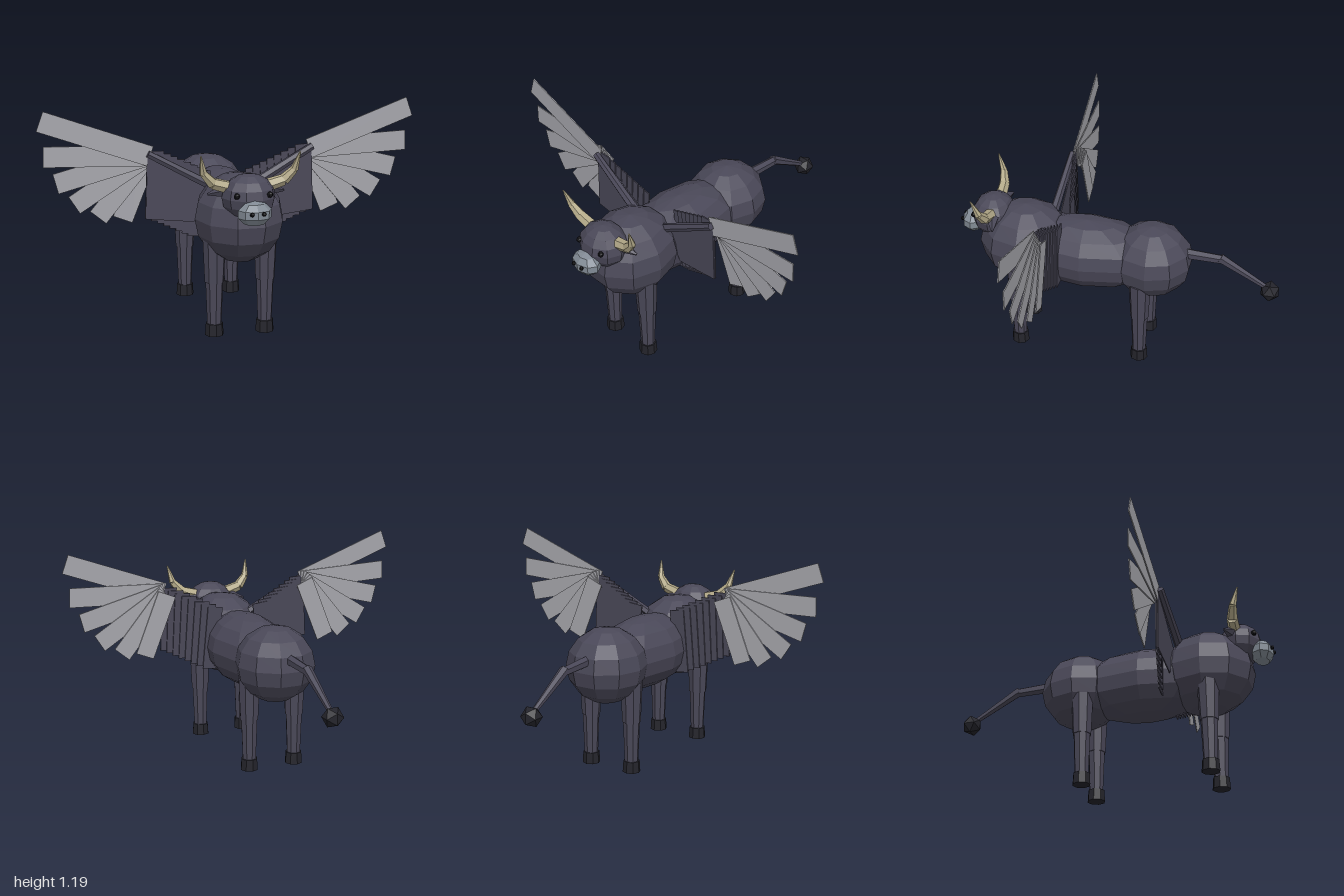
import * as THREE from 'three';

const mat = (name, color) => {
  const m = new THREE.MeshStandardMaterial({ color, flatShading: true });
  m.name = name;
  return m;
};

export function createModel() {
  const hide = mat('slate hide', 0x4a4858);
  const hoofDark = mat('dark hoof', 0x24242b);
  const muzzleGrey = mat('muzzle grey', 0x828b95);
  const hornTan = mat('horn tan', 0xb5ab8a);
  const featherGrey = mat('feather grey', 0xa6a6ac);
  const black = mat('black', 0x101014);
  const root = new THREE.Group();
  root.name = 'wingedBull';

  const add = (name, geo, material, x = 0, y = 0, z = 0, parent = root) => {
    const m = new THREE.Mesh(geo, material);
    m.name = name;
    m.position.set(x, y, z);
    parent.add(m);
    return m;
  };
  // Faceted ellipsoid with its corners on the x axis
  const ball = (name, material, c, r, ws = 10, hs = 8) =>
    add(name, new THREE.SphereGeometry(1, ws, hs).scale(...r), material, ...c);
  // Tapered cylinder between two points
  const limb = (name, material, a, b, ra, rb, sides = 6) => {
    const A = new THREE.Vector3(...a), B = new THREE.Vector3(...b);
    const d = B.clone().sub(A), mid = A.clone().add(B).multiplyScalar(0.5);
    const m = add(name, new THREE.CylinderGeometry(rb, ra, d.length(), sides), material, mid.x, mid.y, mid.z);
    m.quaternion.setFromUnitVectors(new THREE.Vector3(0, 1, 0), d.normalize());
    return m;
  };

  // Body
  ball('chest', hide, [0, 0.625, 0.53], [0.235, 0.235, 0.265]);
  ball('barrel', hide, [0, 0.6, 0.18], [0.212, 0.203, 0.43]);
  ball('rump', hide, [0, 0.603, -0.19], [0.22, 0.212, 0.23]);

  // Head
  ball('head', hide, [0, 0.775, 0.715], [0.14, 0.118, 0.122]);
  ball('muzzle', muzzleGrey, [0, 0.715, 0.835], [0.09, 0.064, 0.066], 8, 5);

  for (const s of [1, -1]) {
    const side = s > 0 ? 'left' : 'right';
    ball(side + 'Eye', black, [s * 0.085, 0.8, 0.807], [0.016, 0.016, 0.016], 6, 5);
    ball(side + 'Nostril', black, [s * 0.03, 0.725, 0.895], [0.012, 0.012, 0.012], 6, 4);
    limb(side + 'Ear', hide, [s * 0.11, 0.805, 0.69], [s * 0.2, 0.785, 0.665], 0.036, 0.006, 5);

    // Curved horn in tapering segments
    const horn = [[0.1, 0.825, 0.705, 0.034], [0.185, 0.85, 0.71, 0.03], [0.235, 0.905, 0.725, 0.021], [0.255, 1.0, 0.757, 0.004]];
    for (let i = 0; i < 3; i++) {
      const [a, b] = [horn[i], horn[i + 1]];
      limb(side + 'Horn' + i, hornTan, [s * a[0], a[1], a[2]], [s * b[0], b[1], b[2]], a[3], b[3]);
    }

    // Legs and hooves
    for (const [end, z] of [['Front', 0.555], ['Hind', -0.15]]) {
      const x = s * 0.137;
      limb(side + end + 'UpperLeg', hide, [x, 0.29, z], [x, 0.52, z], 0.052, 0.062, 8);
      limb(side + end + 'LowerLeg', hide, [x, 0.05, z], [x, 0.31, z], 0.038, 0.048, 8);
      limb(side + end + 'Hoof', hoofDark, [x, 0, z], [x, 0.064, z], 0.05, 0.046, 8);
    }

    // Wing arm
    const wing = new THREE.Group();
    wing.name = side + 'Wing';
    root.add(wing);
    wing.add(limb(side + 'WingArm', hide, [s * 0.08, 0.745, 0.4], [s * 0.445, 0.945, 0.375], 0.026, 0.02));

    // Front covert panel, its top edge following the arm
    const panel = new THREE.Shape([[0.1, 0.755], [0.445, 0.945], [0.458, 0.595], [0.2, 0.565]]
      .map(([x, y]) => new THREE.Vector2(s * x, y)));
    add('covertPanel', new THREE.ExtrudeGeometry(panel, { depth: 0.006, bevelEnabled: false }), hide, 0, 0, 0.357, wing);

    // Secondary feathers, stepping down and back towards the body
    for (let i = 0; i < 8; i++) {
      const t = i / 7;
      const f = add('secondaryFeather', new THREE.BoxGeometry(0.09, 0.36, 0.007), hide,
        s * (0.408 - 0.25 * t), 0.775 - 0.125 * t, 0.352 - 0.048 * t, wing);
      f.rotation.z = s * (0.04 + 0.06 * t);
    }

    // Primary feathers, fanned from the wrist
    const fan = [[20, 0.6], [2, 0.55], [-14.5, 0.505], [-32, 0.465], [-50, 0.42], [-68, 0.37]];
    fan.forEach(([deg, len], i) => {
      const f = add('primaryFeather', new THREE.BoxGeometry(len, 0.108, 0.006).translate(s * len / 2, 0, 0),
        featherGrey, s * 0.432, 0.93, 0.36 - 0.011 * i, wing);
      f.rotation.z = s * THREE.MathUtils.degToRad(deg);
    });
  }

  // Tail with tuft
  limb('tailBase', hide, [0, 0.665, -0.36], [0, 0.655, -0.585], 0.031, 0.026);
  limb('tailEnd', hide, [0, 0.665, -0.57], [0, 0.51, -0.83], 0.028, 0.015);
  add('tailTuft', new THREE.IcosahedronGeometry(0.058, 0), hoofDark, 0, 0.485, -0.855);

  return root;
}
